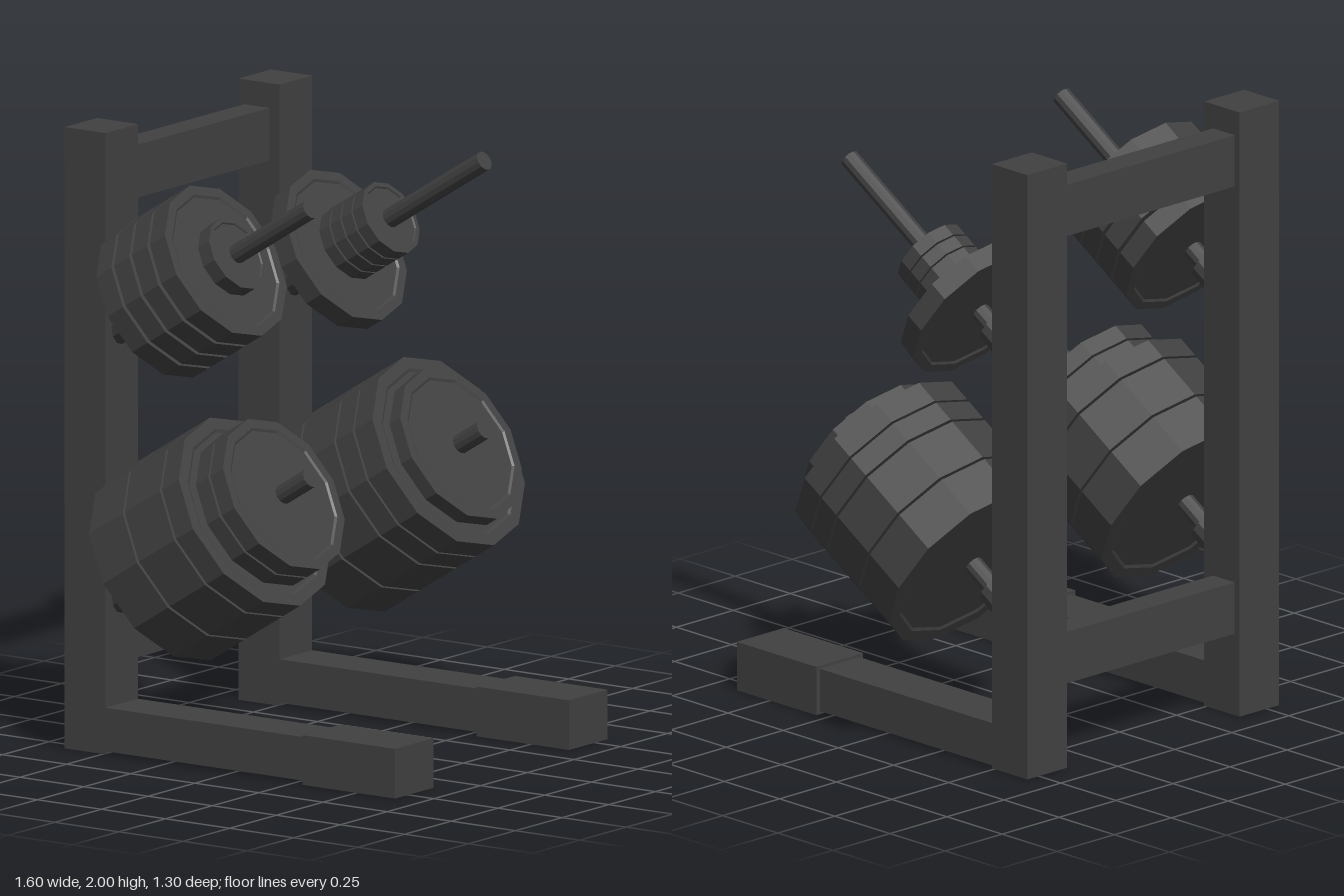
import * as THREE from 'three';

const TILT = THREE.MathUtils.degToRad(32); // pegs rise towards the front
const SIDES = 12;

export function createModel() {
  const steel = new THREE.MeshStandardMaterial({ color: 0x414141, flatShading: true });
  steel.name = 'dark grey steel';
  const model = new THREE.Group();
  model.name = 'weightPlateRack';

  // Box given by its limits on each axis
  function box(name, [x0, x1], [y0, y1], [z0, z1]) {
    const mesh = new THREE.Mesh(new THREE.BoxGeometry(x1 - x0, y1 - y0, z1 - z0), steel);
    mesh.name = name;
    mesh.position.set((x0 + x1) / 2, (y0 + y1) / 2, (z0 + z1) / 2);
    model.add(mesh);
  }

  // Turned solid along the peg axis, from distance a to b
  function turned(parent, name, profile, a) {
    const points = profile.map(([r, h]) => new THREE.Vector2(r, h));
    const mesh = new THREE.Mesh(new THREE.LatheGeometry(points, SIDES), steel);
    mesh.name = name;
    mesh.position.y = a;
    parent.add(mesh);
  }
  function rod(parent, name, r, a, b) {
    turned(parent, name, [[0, 0], [r, 0], [r, b - a], [0, b - a]], a);
  }
  // Plate with a raised rim and slightly sunken faces
  function plate(parent, r, a, b) {
    const h = b - a, d = 0.005;
    turned(parent, 'weightPlate', [
      [0, d], [r * 0.85, d], [r * 0.88, 0], [r, 0],
      [r, h], [r * 0.88, h], [r * 0.85, h - d], [0, h - d],
    ], a);
  }

  // Peg with its collar and plates, listed as [radius, start, end]
  function peg(name, x, y, plates) {
    const group = new THREE.Group();
    group.name = name;
    group.position.set(x, y, -0.49);
    group.rotation.x = Math.PI / 2 - TILT;
    rod(group, 'pegCollar', 0.055, -0.06, 0.097);
    rod(group, 'pegRod', 0.032, 0, 0.867);
    plates.forEach(([r, a, b]) => plate(group, r, a, b));
    model.add(group);
  }

  // Uprights, legs and feet
  const left = 0.463, right = -0.468;
  for (const x of [left, right]) {
    box('upright', [x - 0.087, x + 0.087], [0, 2], [-0.65, -0.49]);
    box('leg', [x - 0.087, x + 0.087], [0.01, 0.15], [-0.5, 0.3]);
    box('foot', [x - 0.103, x + 0.103], [0, 0.16], [0.29, 0.65]);
  }
  // Crossbars
  for (const y of [0.27, 1.75]) {
    box('crossbar', [right + 0.08, left - 0.08], [y, y + 0.17], [-0.628, -0.53]);
  }

  // Plate sizes
  const big = 0.332, medium = 0.265, small = 0.125;

  // Upper pegs
  const upperLeft = [[medium, 0.162, 0.231]];
  for (let i = 0; i < 4; i++) upperLeft.push([small, 0.24 + i * 0.051, 0.285 + i * 0.051]);
  const upperRight = [[small, 0.482, 0.533]];
  for (let i = 0; i < 4; i++) upperRight.push([medium, 0.162 + i * 0.082, 0.232 + i * 0.082]);
  peg('upperLeftPeg', left, 1.371, upperLeft);
  peg('upperRightPeg', right, 1.371, upperRight);

  // Lower pegs
  const bumpers = [[big, 0.2, 0.355], [big, 0.364, 0.526]];
  peg('lowerLeftPeg', left, 0.506, [
    ...bumpers, [big, 0.535, 0.612], [big, 0.62, 0.703], [medium, 0.711, 0.76],
  ]);
  peg('lowerRightPeg', right, 0.506, [
    ...bumpers, [big, 0.535, 0.612], [medium, 0.62, 0.678], [medium, 0.686, 0.745],
  ]);

  return model;
}
